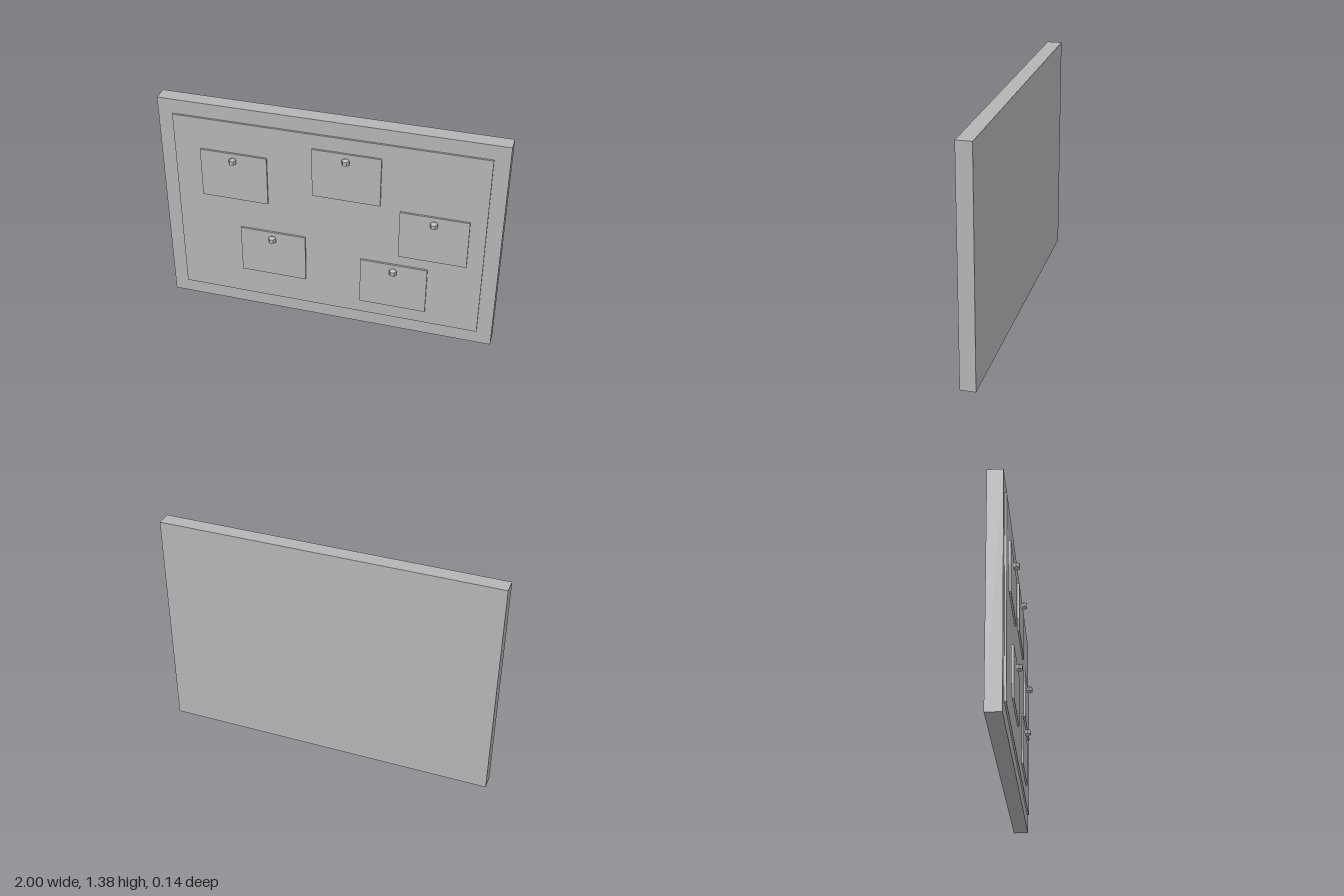
import * as THREE from 'three';

export function createModel() {
  const model = new THREE.Group();
  model.name = 'noticeBoard';
  const grey = new THREE.MeshStandardMaterial({ color: 0xb4b4b4 });
  grey.name = 'grey';
  grey.flatShading = true;

  // Box given by its centre in x and y, and its back and front in z
  function slab(name, w, h, x, y, back, front) {
    const mesh = new THREE.Mesh(new THREE.BoxGeometry(w, h, front - back), grey);
    mesh.name = name;
    mesh.position.set(x, y, (back + front) / 2);
    model.add(mesh);
  }

  // Backing frame and the raised pin surface
  slab('frame', 2, 1.38, 0, 0.69, -0.072, 0.0175);
  slab('pinSurface', 1.824, 1.2, 0, 0.69, 0.0175, 0.0285);

  // Paper notes, each held by a faceted pin near its top edge
  const pinGeometry = new THREE.SphereGeometry(0.0255, 6, 3);
  const notes = [
    [-0.557, 0.935], [0.108, 1.045], [0.62, 0.715], [-0.335, 0.425], [0.398, 0.335],
  ];
  notes.forEach(([x, y], i) => {
    slab(`note${i + 1}`, 0.398, 0.31, x, y, 0.0285, 0.0395);
    const pin = new THREE.Mesh(pinGeometry, grey);
    pin.name = `pin${i + 1}`;
    pin.position.set(x, y + 0.111, 0.053);
    model.add(pin);
  });

  return model;
}
